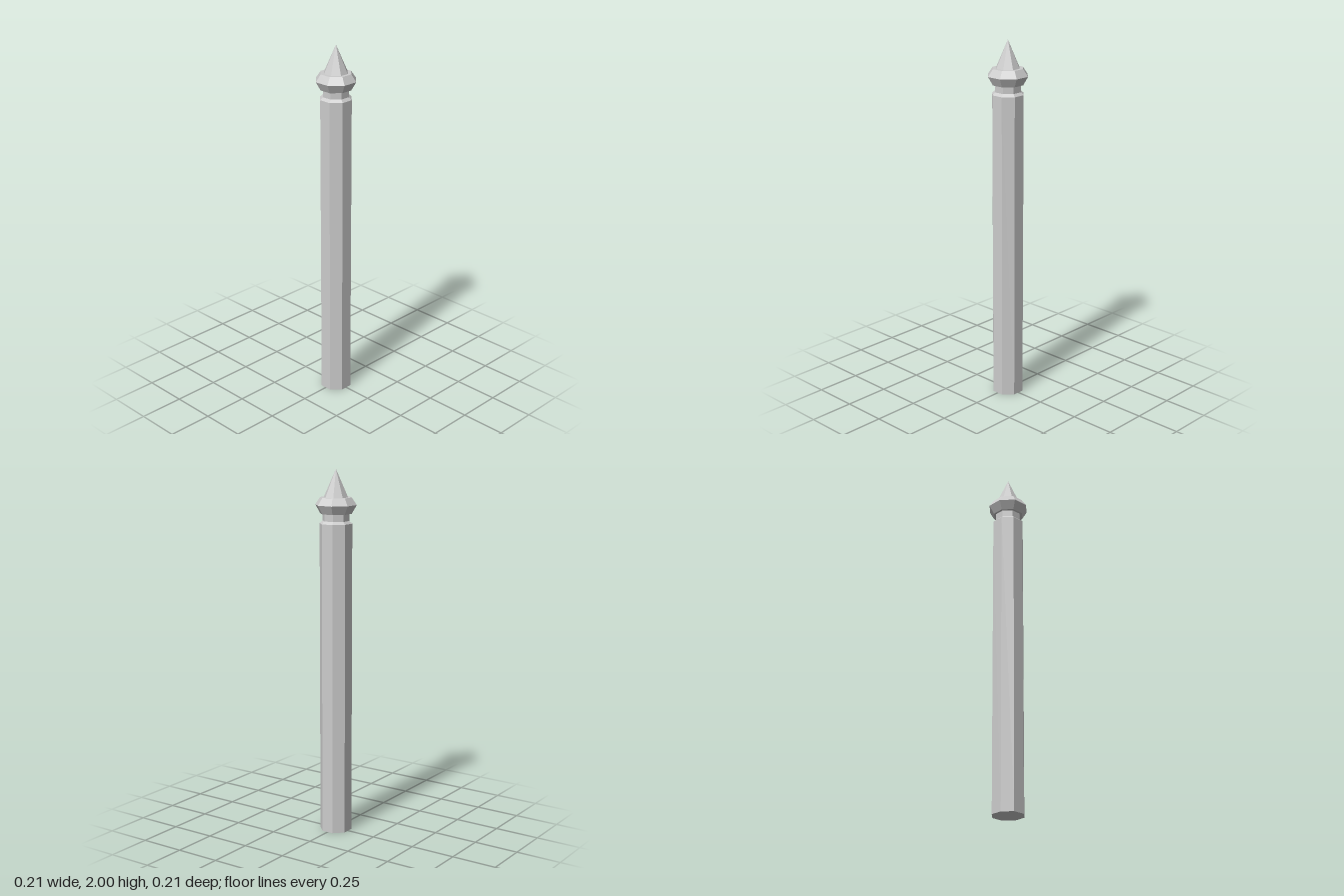
import * as THREE from 'three';

const SIDES = 8;
const material = new THREE.MeshStandardMaterial({ color: 0xcccccc, flatShading: true });

// Octagonal turned part; profile is [half width across flats, height], bottom to top
function turned(name, profile) {
  const toCorner = 1 / Math.cos(Math.PI / SIDES);
  const points = profile.map(([r, y]) => new THREE.Vector2(r * toCorner, y));
  const geometry = new THREE.LatheGeometry(points, SIDES, Math.PI / SIDES);
  const mesh = new THREE.Mesh(geometry, material);
  mesh.name = name;
  return mesh;
}

export function createModel() {
  const post = new THREE.Group();
  post.name = 'post';
  post.add(
    // Long shaft with a bevelled shoulder
    turned('shaft', [[0, 0], [0.082, 0], [0.082, 1.713], [0.067, 1.727]]),
    // Narrow neck under the finial
    turned('neck', [[0.067, 1.727], [0.067, 1.765]]),
    // Bulging collar, flat above and below
    turned('collar', [[0.067, 1.765], [0.079, 1.765], [0.104, 1.812], [0.079, 1.851], [0.061, 1.851]]),
    // Pointed tip
    turned('spike', [[0.061, 1.851], [0, 2]]),
  );
  return post;
}
